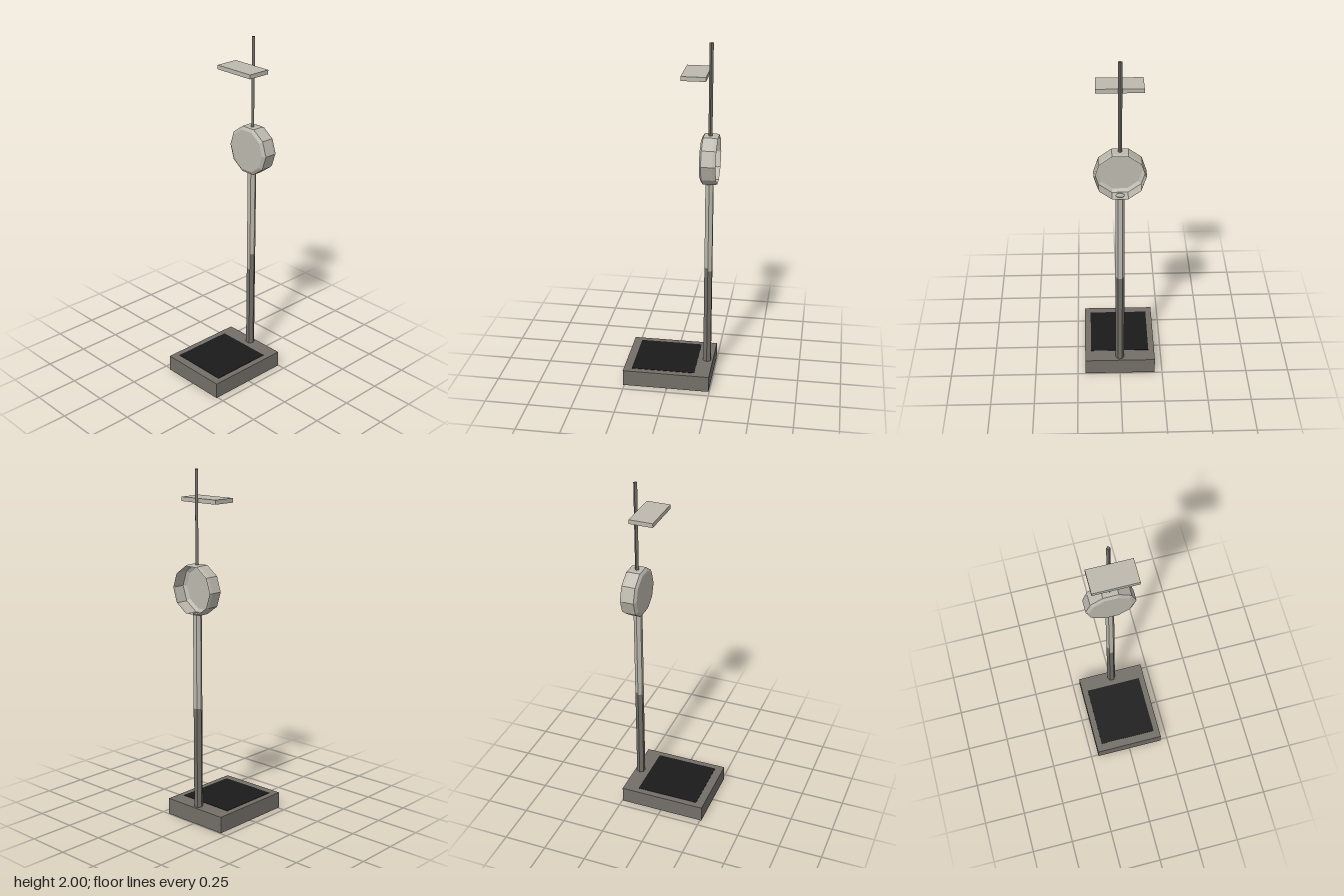
import * as THREE from 'three';

export function createModel() {
  const model = new THREE.Group();
  const mat = (name, color, side = THREE.FrontSide) => {
    const m = new THREE.MeshStandardMaterial({ color, side, flatShading: true });
    m.name = name;
    return m;
  };
  const darkGrey = mat('darkGrey', 0x736f68, THREE.DoubleSide);
  const beige = mat('beige', 0xbdb9ae, THREE.DoubleSide);
  const black = mat('black', 0x1a1a1a);
  const POLE_Z = -0.211;

  const add = (name, geometry, material, x, y, z) => {
    const mesh = new THREE.Mesh(geometry, material);
    mesh.name = name;
    mesh.position.set(x, y, z);
    model.add(mesh);
  };

  // Hollow platform: a box without its bottom face
  const baseGeo = new THREE.BoxGeometry(0.411, 0.095, 0.504);
  const index = Array.from(baseGeo.index.array);
  index.splice(18, 6);
  baseGeo.setIndex(index);
  baseGeo.clearGroups();
  add('platform', baseGeo, darkGrey, 0, 0.0475, 0.006);

  // Standing mat, resting on the platform
  add('mat', new THREE.BoxGeometry(0.342, 0.002, 0.367), black, 0, 0.0965, 0.0275);

  // Six-sided column: each side changes colour at its own height (front side first)
  const columnSide = (name, side, y0, y1, material) => {
    const geo = new THREE.CylinderGeometry(
      0.025, 0.025, y1 - y0, 1, 1, true, (side - 0.5) * Math.PI / 3, Math.PI / 3);
    add(name, geo, material, 0, (y0 + y1) / 2, POLE_Z);
  };
  [0.6, 0.7, 0.68, 0.68, 0.68, 0.67].forEach((split, side) => {
    columnSide('lowerColumn', side, 0.09, split, darkGrey);
    columnSide('upperColumn', side, split, 1.22, beige);
  });

  // Thin square rod
  add('measuringRod', new THREE.CylinderGeometry(0.011, 0.011, 0.516, 4),
    darkGrey, 0, 1.742, POLE_Z - 0.001);

  // Ten-sided dial housing: a thin shell, open at the back, axis turned from y to z
  const profile = [
    [0.137, -0.047], [0.142, -0.029], [0.142, 0.034], [0.123, 0.0455], [0, 0.0455],
  ].map(([r, h]) => new THREE.Vector2(r, h));
  const dialGeo = new THREE.LatheGeometry(profile, 10, Math.PI / 2);
  dialGeo.rotateX(Math.PI / 2);
  add('dialHousing', dialGeo, beige, 0, 1.352, POLE_Z);

  // Sliding head plate
  add('headPlate', new THREE.BoxGeometry(0.252, 0.024, 0.136), beige, 0, 1.832, -0.132);

  return model;
}
